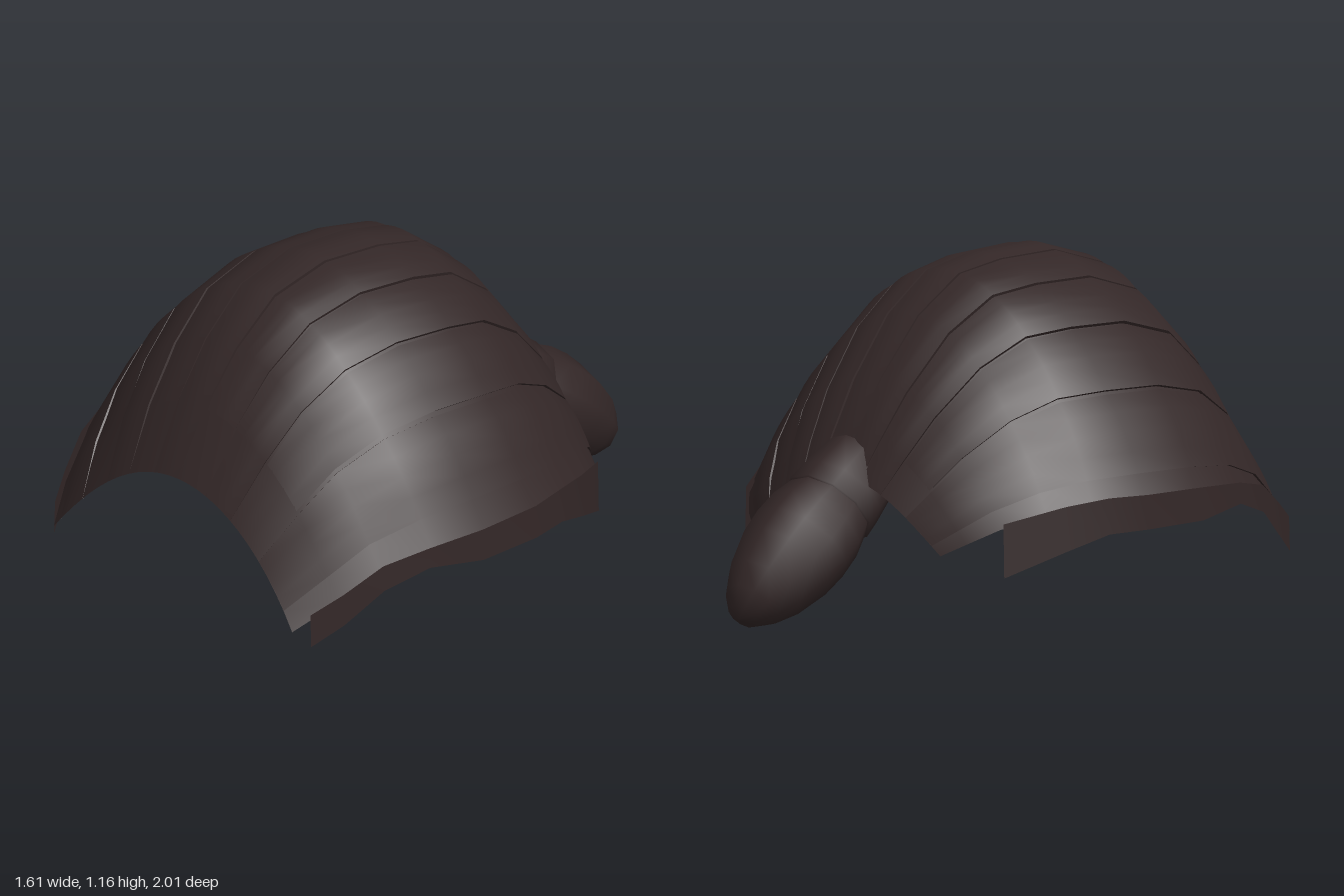
import * as THREE from 'three';

// Shell stations from front to back: centre z, centre y, edge z, half width, edge y
const STATIONS = [
  [0.97, 0.57, 0.995, 0.56, 0.21], [0.85, 0.79, 0.86, 0.64, 0.30], [0.72, 0.97, 0.72, 0.70, 0.38],
  [0.56, 1.115, 0.54, 0.765, 0.42], [0.35, 1.173, 0.33, 0.795, 0.43], [0.12, 1.16, 0.10, 0.79, 0.43],
  [-0.05, 1.125, -0.10, 0.745, 0.42], [-0.22, 1.0, -0.25, 0.68, 0.40], [-0.38, 0.80, -0.38, 0.59, 0.36],
  [-0.48, 0.63, -0.46, 0.51, 0.31], [-0.55, 0.50, -0.51, 0.44, 0.27],
];
const LAST = STATIONS.length - 1;

// Lower side flaps from front to back: z, x, top y, bottom y
const FLAP = [
  [0.95, 0.60, 0.27, 0.155], [0.85, 0.655, 0.33, 0.22], [0.72, 0.71, 0.41, 0.32],
  [0.56, 0.765, 0.44, 0.37], [0.35, 0.803, 0.45, 0.34], [0.10, 0.80, 0.45, 0.335],
  [-0.05, 0.767, 0.45, 0.33], [-0.20, 0.712, 0.43, 0.28], [-0.38, 0.605, 0.38, 0.20],
];

// Point on the shell: u runs across (-1..1), j is the station, lift moves it outward
const CENTRE = new THREE.Vector3(0, 0.4, 0.25);
function shellPoint(u, j, lift = 0) {
  const [zc, top, ze, w, edge] = STATIONS[j];
  const p = new THREE.Vector3(w * u, top - (top - edge) * u * u, zc + (ze - zc) * u ** 4);
  const out = p.clone().sub(CENTRE).normalize();
  return p.addScaledVector(out, lift);
}

// Surface through a grid of points
function grid(cols, rows, pointAt) {
  const pos = [], idx = [];
  for (let j = 0; j <= rows; j++)
    for (let i = 0; i <= cols; i++) pos.push(...pointAt(i, j).toArray());
  for (let j = 0; j < rows; j++)
    for (let i = 0; i < cols; i++) {
      const a = j * (cols + 1) + i, b = a + 1, c = a + cols + 1, d = c + 1;
      idx.push(a, b, d, a, d, c);
    }
  const g = new THREE.BufferGeometry();
  g.setAttribute('position', new THREE.Float32BufferAttribute(pos, 3));
  g.setIndex(idx);
  g.computeVertexNormals();
  return g;
}

export function createModel() {
  const model = new THREE.Group();
  const hair = new THREE.MeshStandardMaterial({ color: 0x332727, side: THREE.DoubleSide });
  hair.name = 'dark brown hair';
  const add = (name, geometry, parent = model) => {
    const m = new THREE.Mesh(geometry, hair);
    m.name = name;
    parent.add(m);
    return m;
  };

  // Main cap
  add('hairCap', grid(24, LAST, (i, j) => shellPoint(-1 + i / 12, j)));

  // Slanted raised locks running from front to back, each with thin side walls
  const locks = new THREE.Group();
  locks.name = 'hairLocks';
  model.add(locks);
  const count = 9;
  for (let k = 0; k < count; k++) {
    const u0 = -0.94 + (1.88 * k) / count, width = 1.88 / count - 0.012;
    const first = k % 2, rows = LAST - first - (k % 3 === 1 ? 1 : 0);
    const point = (t, r, side) => {
      const j = first + r, a = u0 + width * t;
      const u = a + 0.2 * (j / LAST - 0.5) * (1 - a * a);
      const lift = 0.017 * Math.sqrt(Math.sin((Math.PI * r) / rows) + 1e-6);
      return shellPoint(u, j, side ? -0.003 : lift * (0.65 + 0.35 * Math.sin(Math.PI * t)));
    };
    add('lock', grid(4, rows, (i, r) => point(i / 4, r, false)), locks);
    add('lockEdge', grid(1, rows, (i, r) => point(0, r, i === 0)), locks);
    add('lockEdge', grid(1, rows, (i, r) => point(1, r, i === 1)), locks);
  }

  // Hanging flaps along both sides
  for (const s of [1, -1]) {
    add(s > 0 ? 'leftFlap' : 'rightFlap', grid(1, FLAP.length - 1, (i, j) => {
      const [z, x, top, bottom] = FLAP[j];
      const lower = s > 0 ? i === 1 : i === 0;
      return new THREE.Vector3(s * (x + (lower ? 0.004 : 0)), lower ? bottom : top, z);
    }));
  }

  // Ponytail: a collar and a tapering bulb on one sloping axis
  const tail = new THREE.Group();
  tail.name = 'ponytail';
  tail.position.set(0.015, 0.45, -0.51);
  tail.rotation.x = -2.252;
  tail.scale.x = 1.13;
  model.add(tail);
  const lathe = pts => new THREE.LatheGeometry(pts.map(([r, y]) => new THREE.Vector2(r, y)), 10);
  add('ponytailCollar', lathe([[0.10, -0.13], [0.13, -0.12], [0.148, 0.02], [0.153, 0.09], [0.13, 0.1]]), tail);
  add('ponytailBulb', lathe([
    [0.13, 0.03], [0.145, 0.09], [0.165, 0.17], [0.17, 0.26], [0.163, 0.35],
    [0.133, 0.47], [0.095, 0.55], [0.05, 0.605], [0, 0.62],
  ]), tail);

  return model;
}
